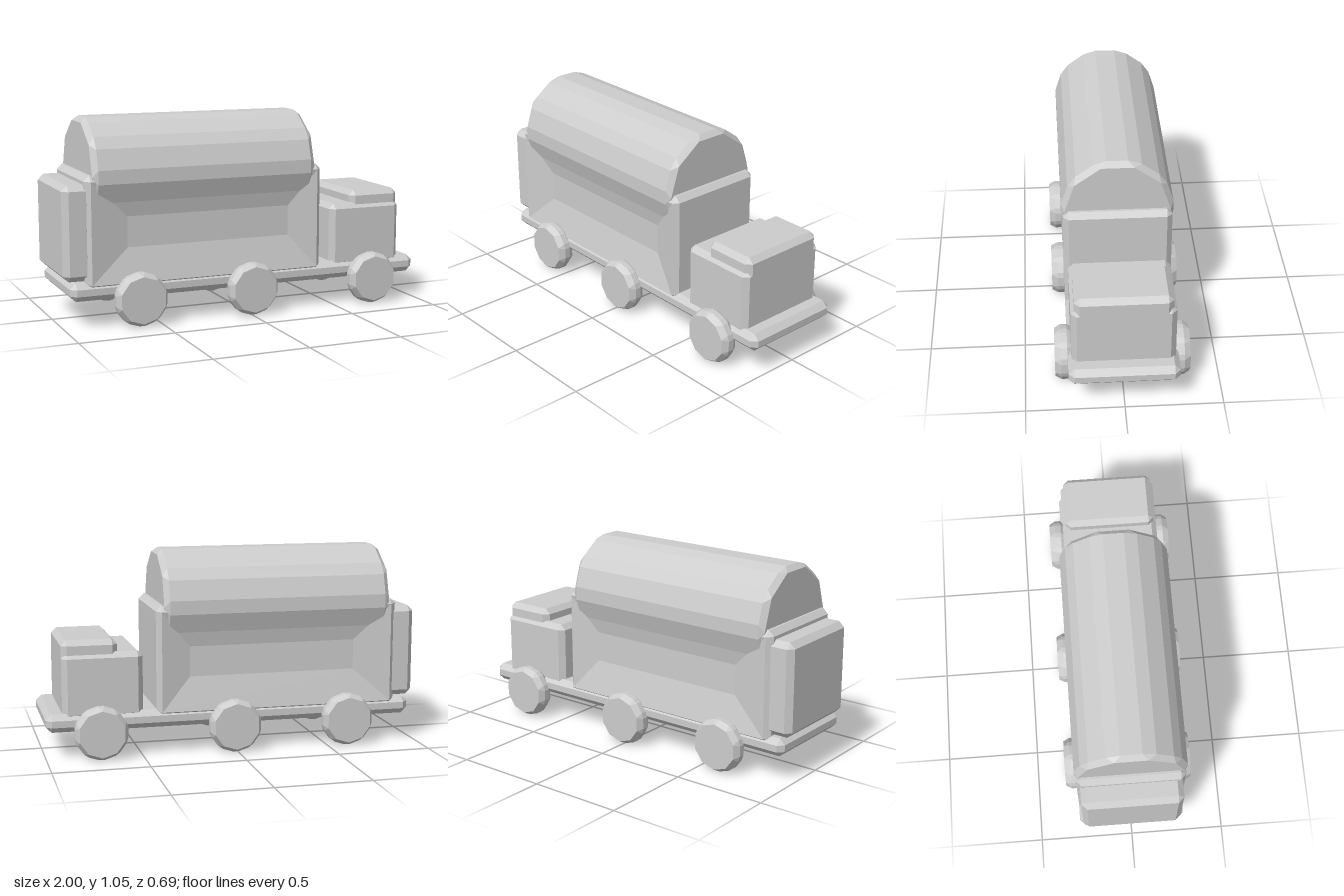
import * as THREE from 'three';

// Skin a list of rings (equal counts of [x, y, z], counter-clockwise, rising z) and cap both ends.
function loft(rings) {
  const pos = [];
  const same = (a, b) => a.every((v, i) => Math.abs(v - b[i]) < 1e-6);
  const tri = (a, b, c) => {
    if (!same(a, b) && !same(b, c) && !same(a, c)) pos.push(...a, ...b, ...c);
  };
  const n = rings[0].length;
  for (let k = 0; k < rings.length - 1; k++) {
    for (let i = 0; i < n; i++) {
      const j = (i + 1) % n;
      tri(rings[k][i], rings[k][j], rings[k + 1][j]);
      tri(rings[k][i], rings[k + 1][j], rings[k + 1][i]);
    }
  }
  const first = rings[0], last = rings[rings.length - 1];
  for (let i = 1; i < n - 1; i++) {
    tri(first[0], first[i + 1], first[i]);
    tri(last[0], last[i], last[i + 1]);
  }
  const g = new THREE.BufferGeometry();
  g.setAttribute('position', new THREE.Float32BufferAttribute(pos, 3));
  g.computeVertexNormals();
  return g;
}

// Rectangle with corners cut by c (c = 0 gives doubled corners).
const rectRing = (x0, x1, y0, y1, c, z) => [
  [x1, y0 + c, z], [x1, y1 - c, z], [x1 - c, y1, z], [x0 + c, y1, z],
  [x0, y1 - c, z], [x0, y0 + c, z], [x0 + c, y0, z], [x1 - c, y0, z],
];

// Ten-sided ring whose corners are split by +-cut radians.
function roundRing(r, cut, start, z) {
  const ring = [];
  for (let i = 0; i < 10; i++) {
    for (const s of [-1, 1]) {
      const a = start + i * Math.PI / 5 + s * cut;
      ring.push([r * Math.cos(a), r * Math.sin(a), z]);
    }
  }
  return ring;
}

// Box with all edges chamfered by c, symmetric in z.
function chamferBox(x0, x1, y0, y1, hz, c) {
  const end = (z) => rectRing(x0 + c, x1 - c, y0 + c, y1 - c, 0, z);
  const mid = (z) => rectRing(x0, x1, y0, y1, c, z);
  return loft([end(-hz), mid(-hz + c), mid(hz - c), end(hz)]);
}

// Ten-sided drum along z with bevelled rims and corners.
function drum(r, rCap, half, bevel, cut, start) {
  return loft([
    roundRing(rCap, 0, start, -half), roundRing(r, cut, start, -half + bevel),
    roundRing(r, cut, start, half - bevel), roundRing(rCap, 0, start, half),
  ]);
}

export function createModel() {
  const model = new THREE.Group();
  model.name = 'tankWagon';
  const grey = new THREE.MeshStandardMaterial({ color: 0xcccccc, flatShading: true });
  grey.name = 'plainGrey';
  const add = (name, geometry, x = 0, y = 0, z = 0) => {
    const mesh = new THREE.Mesh(geometry, grey);
    mesh.name = name;
    mesh.position.set(x, y, z);
    model.add(mesh);
    return mesh;
  };

  add('platform', chamferBox(-0.97, 1, 0.143, 0.238, 0.28, 0.03));

  // Body with a sloping recess in both long sides
  const recess = (z) => rectRing(-0.66, 0.24, 0.4, 0.56, 0, z);
  const rim = (z) => rectRing(-0.86, 0.395, 0.222, 0.75, 0, z);
  const full = (z) => rectRing(-0.89, 0.422, 0.2, 0.78, 0.028, z);
  add('body', loft([recess(-0.24), rim(-0.28), full(-0.252), full(0.252), rim(0.28), recess(0.24)]));

  // Tank lying lengthwise on the body
  const tank = drum(0.29, 0.272, 0.615, 0.028, 0.125, 0);
  tank.rotateY(Math.PI / 2);
  add('tank', tank, -0.235, 0.77, 0);

  add('rearBox', chamferBox(-1, -0.85, 0.243, 0.735, 0.262, 0.03));
  add('cab', chamferBox(0.49, 0.912, 0.2, 0.55, 0.262, 0.028));
  add('cabRoof', chamferBox(0.62, 0.912, 0.4, 0.615, 0.245, 0.028));

  // Three pairs of wheels
  for (const x of [-0.61, 0.01, 0.72]) {
    for (const side of [1, -1]) {
      add(side > 0 ? 'frontSideWheel' : 'backSideWheel',
        drum(0.14, 0.123, 0.048, 0.032, 0.11, Math.PI / 2), x, 0.139, side * 0.297);
    }
  }
  return model;
}
